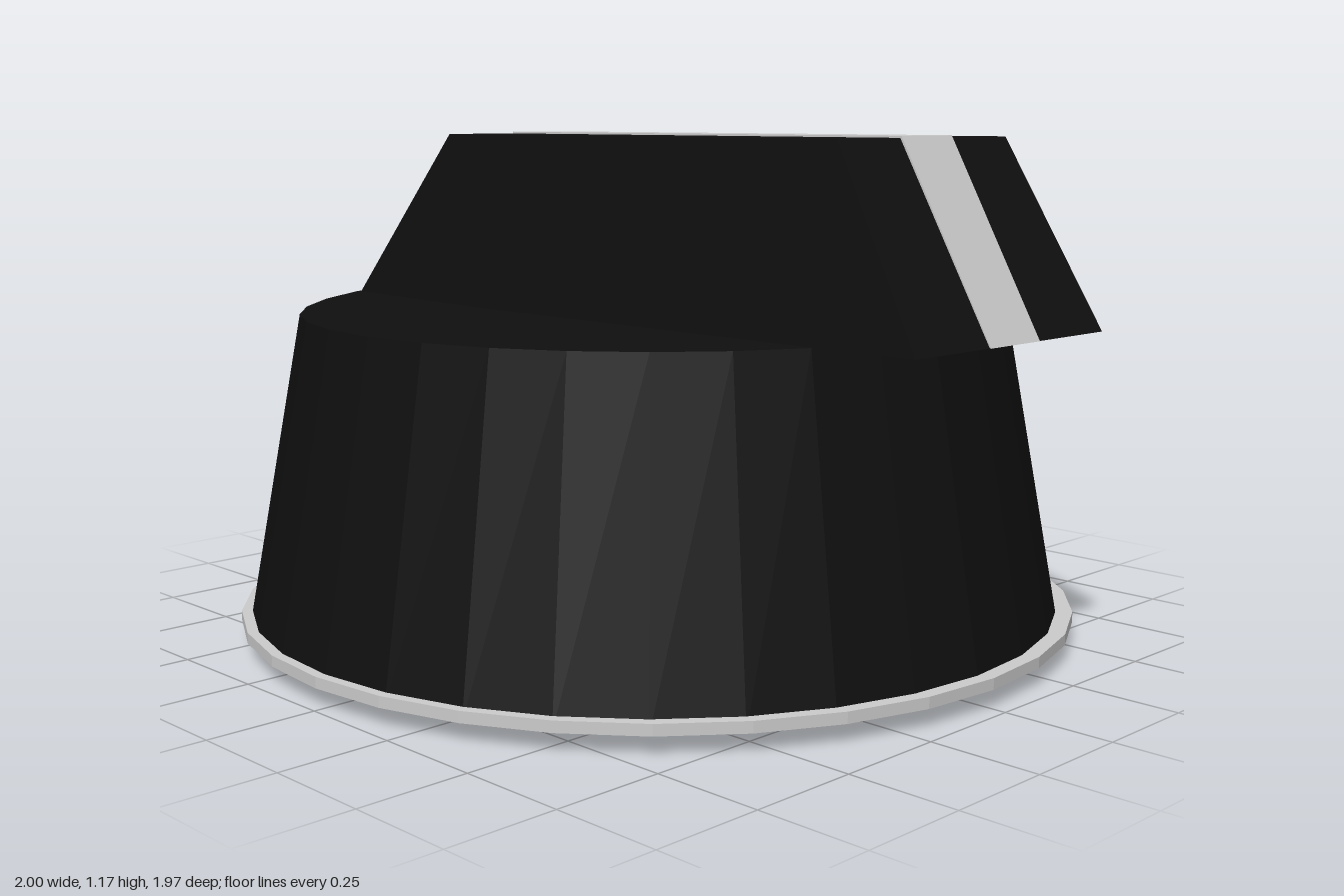
import * as THREE from 'three';

const SIDES = 32;
const CX = -0.015; // the round parts sit slightly off the overall centre

export function createModel() {
  const group = new THREE.Group();
  const black = new THREE.MeshStandardMaterial({ color: 0x0f0f0f, flatShading: true });
  const grey = new THREE.MeshStandardMaterial({ color: 0xcccccc, flatShading: true });

  const add = (name, geometry, material, x = 0, y = 0, z = 0) => {
    const mesh = new THREE.Mesh(geometry, material);
    mesh.name = name;
    mesh.position.set(x, y, z);
    group.add(mesh);
  };

  // Tapered knob body; the top rim lifts a little towards the pointer's tail
  const bottom = 0.036, top = 0.757;
  const body = new THREE.CylinderGeometry(0.825, 0.957, top - bottom, SIDES);
  const p = body.attributes.position;
  for (let i = 0; i < p.count; i++) {
    const r = Math.hypot(p.getX(i), p.getZ(i));
    if (p.getY(i) < 0 || r < 0.1) continue;
    const c = Math.max(0, (-0.93 * p.getX(i) - 0.36 * p.getZ(i)) / r);
    p.setY(i, p.getY(i) + 0.018 * c ** 3);
  }
  add('knobBody', body, black, CX, (top + bottom) / 2, 0.01);

  // Thin flange around the foot
  add('baseRing', new THREE.CylinderGeometry(0.985, 0.985, 0.025, SIDES), grey, CX, 0.0535, 0);

  // Shallow cone closing the underside
  const cone = new THREE.ConeGeometry(0.93, 0.036, SIDES);
  cone.rotateX(Math.PI);
  add('undersideCone', cone, grey, CX, 0.018, 0.005);

  // Pointer grip: a box with sloped ends and drafted sides
  const grip = new THREE.BoxGeometry(2, 2, 2);
  const g = grip.attributes.position;
  for (let i = 0; i < g.count; i++) {
    const up = g.getY(i) > 0, tip = g.getX(i) > 0;
    g.setXYZ(i,
      tip ? (up ? 0.767 : 0.997) : (up ? -0.44 : -0.78),
      up ? 1.163 : top,
      Math.sign(g.getZ(i)) * (up ? 0.281 : tip ? 0.32 : 0.312));
  }
  grip.computeVertexNormals();
  add('pointerGrip', grip, black);

  // Indicator stripe folded over the top and down the tip
  const profile = new THREE.Shape([
    [-0.44, 1.16], [0.76, 1.16], [0.99, 0.757], [1.0, 0.757], [0.77, 1.167], [-0.44, 1.167],
  ].map(([x, y]) => new THREE.Vector2(x, y)));
  const stripe = new THREE.ExtrudeGeometry(profile, { depth: 0.168, bevelEnabled: false });
  add('indicatorStripe', stripe, grey, 0, 0, -0.085);

  return group;
}
